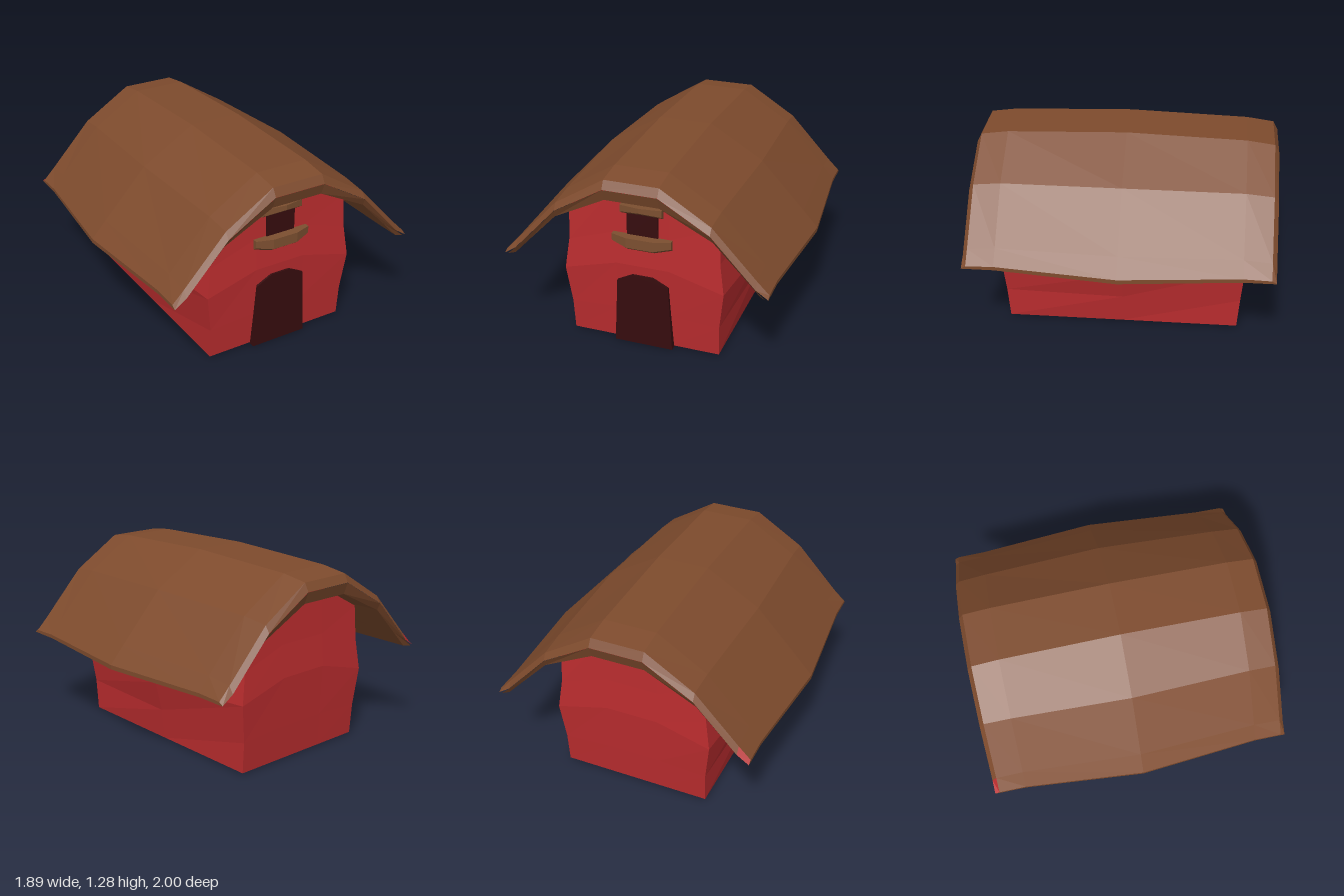
import * as THREE from 'three';

const mat = (name, color) => {
  const m = new THREE.MeshStandardMaterial({ color, flatShading: true });
  m.name = name;
  return m;
};

// Joins equal-length rings of points with quads; caps are triangles over ring indices.
// accent(i, j) picks quads that use the second material.
function loft(rings, cap = [], accent = () => false) {
  const faces = [[], []];
  const tri = (g, a, b, c) => faces[g].push(...a, ...b, ...c);
  for (let i = 0; i < rings.length - 1; i++) {
    const n = rings[i].length;
    for (let j = 0; j < n; j++) {
      const k = (j + 1) % n, g = accent(i, j) ? 1 : 0;
      const a = rings[i][j], b = rings[i][k], c = rings[i + 1][k], d = rings[i + 1][j];
      tri(g, a, b, c);
      tri(g, a, c, d);
    }
  }
  const first = rings[0], last = rings[rings.length - 1];
  for (const [a, b, c] of cap) {
    tri(0, first[a], first[c], first[b]);
    tri(0, last[a], last[b], last[c]);
  }
  const geo = new THREE.BufferGeometry();
  geo.setAttribute('position', new THREE.Float32BufferAttribute(faces.flat(), 3));
  geo.addGroup(0, faces[0].length / 3, 0);
  if (faces[1].length) geo.addGroup(faces[0].length / 3, faces[1].length / 3, 1);
  geo.computeVertexNormals();
  return geo;
}

// Horizontal ring of the walls: bulged at the middle of each side, raised at the gables
function wallRing([cx, cy, cz, sx, sy, gy, gz]) {
  const g = 0.18;
  return [
    [cx, cy, cz], [sx, sy, 0], [cx, cy, -cz], [g, gy, -gz], [-g, gy, -gz],
    [-cx, cy, -cz], [-sx, sy, 0], [-cx, cy, cz], [-g, gy, gz], [g, gy, gz],
  ];
}

// Mirrored roof section at depth z, from half profiles of the outside and underside
function roofRing(z, outer, inner) {
  const right = (p) => [p[0], p[1], z], left = (p) => [-p[0], p[1], z];
  return [
    ...[...outer].reverse().map(right), ...outer.map(left),
    ...[...inner].reverse().map(left), ...inner.map(right),
  ];
}

// Bowed plank running along x; each station is [x, bottom, top, front]
function plank(stations) {
  const zb = 0.77;
  const rings = stations.map(([x, y0, y1, zf]) => [
    [x, y0, zf - 0.03], [x, y0, zb], [x, y1, zb], [x, y1, zf], [x, y0 + 0.022, zf],
  ]);
  return loft(rings, [[0, 1, 2], [0, 2, 3], [0, 3, 4]]);
}

// Upright plate with its front at z
function plate(points, z, depth) {
  const shape = new THREE.Shape(points.map(([x, y]) => new THREE.Vector2(x, y)));
  const geo = new THREE.ExtrudeGeometry(shape, { depth, bevelEnabled: false });
  return geo.translate(0, 0, z - depth);
}

export function createModel() {
  const red = mat('barn red', 0xb92c2e);
  const brown = mat('roof brown', 0x7e4b2d);
  const trim = mat('trim wood', 0x7c4f30);
  const dark = mat('dark opening', 0x360c0e);
  const group = new THREE.Group();
  group.name = 'barn';
  const add = (name, geo, material) => {
    const mesh = new THREE.Mesh(geo, material);
    mesh.name = name;
    group.add(mesh);
  };

  // Walls: corner x, y, z; side middle x, y; gable y, z
  const levels = [
    [0.51, 0.008, 0.78, 0.51, 0.008, 0.008, 0.78],
    [0.513, 0.22, 0.795, 0.535, 0.22, 0.24, 0.795],
    [0.545, 0.48, 0.815, 0.583, 0.43, 0.58, 0.813],
    [0.515, 0.69, 0.8, 0.55, 0.67, 0.8, 0.797],
    [0.51, 0.925, 0.785, 0.545, 0.92, 1.11, 0.785],
  ];
  const wallCap = [
    [9, 0, 1], [9, 1, 2], [9, 2, 3], [9, 3, 4], [9, 4, 8], [8, 4, 5], [8, 5, 6], [8, 6, 7],
  ];
  add('walls', loft(levels.map(wallRing), wallCap), red);

  // Roof: half profiles at the tip, the rim, the gable wall and the middle
  const tip = [
    [[0.18, 1.18], [0.51, 0.985], [0.8, 0.675], [0.88, 0.622], [0.88, 0.62]],
    [[0.18, 1.179], [0.51, 0.984], [0.8, 0.674], [0.86, 0.62]],
  ];
  const under = [[0.18, 1.1], [0.52, 0.93], [0.7, 0.745], [0.82, 0.62]];
  const rim = [[[0.18, 1.235], [0.51, 1.03], [0.8, 0.72], [0.88, 0.64], [0.88, 0.62]], under];
  const gable = [[[0.18, 1.26], [0.515, 1.05], [0.8, 0.735], [0.88, 0.645], [0.88, 0.62]], under];
  const middle = [
    [[0.18, 1.285], [0.545, 1.067], [0.845, 0.745], [0.945, 0.635], [0.945, 0.605]],
    [[0.18, 1.1], [0.545, 0.92], [0.73, 0.735], [0.86, 0.602]],
  ];
  const sections = [
    [-1, tip], [-0.97, rim], [-0.79, gable], [0, middle], [0.79, gable], [0.97, rim], [1, tip],
  ];
  // One rim face at the back right eave is red
  const roofGeo = loft(sections.map(([z, [o, i]]) => roofRing(z, o, i)), [], (i, j) => i === 0 && j === 7);
  add('roof', roofGeo, [brown, red]);

  // Door and loft window
  add('door', plate([
    [-0.2, 0], [0.2, 0], [0.175, 0.46], [0.07, 0.515], [-0.07, 0.515], [-0.175, 0.46],
  ], 0.822, 0.045), dark);
  add('loftWindow', plate([
    [-0.105, 0.78], [0.105, 0.78], [0.105, 0.98], [-0.105, 0.98],
  ], 0.806, 0.03), dark);

  // Sill and lintel
  add('windowSill', plank([
    [-0.2, 0.73, 0.8, 0.83], [-0.09, 0.71, 0.8, 0.865], [0.09, 0.71, 0.8, 0.865], [0.2, 0.73, 0.8, 0.83],
  ]), trim);
  add('windowLintel', plank([
    [-0.14, 0.942, 1.01, 0.83], [0, 0.965, 1.02, 0.865], [0.14, 0.942, 1.01, 0.83],
  ]), trim);

  return group;
}
